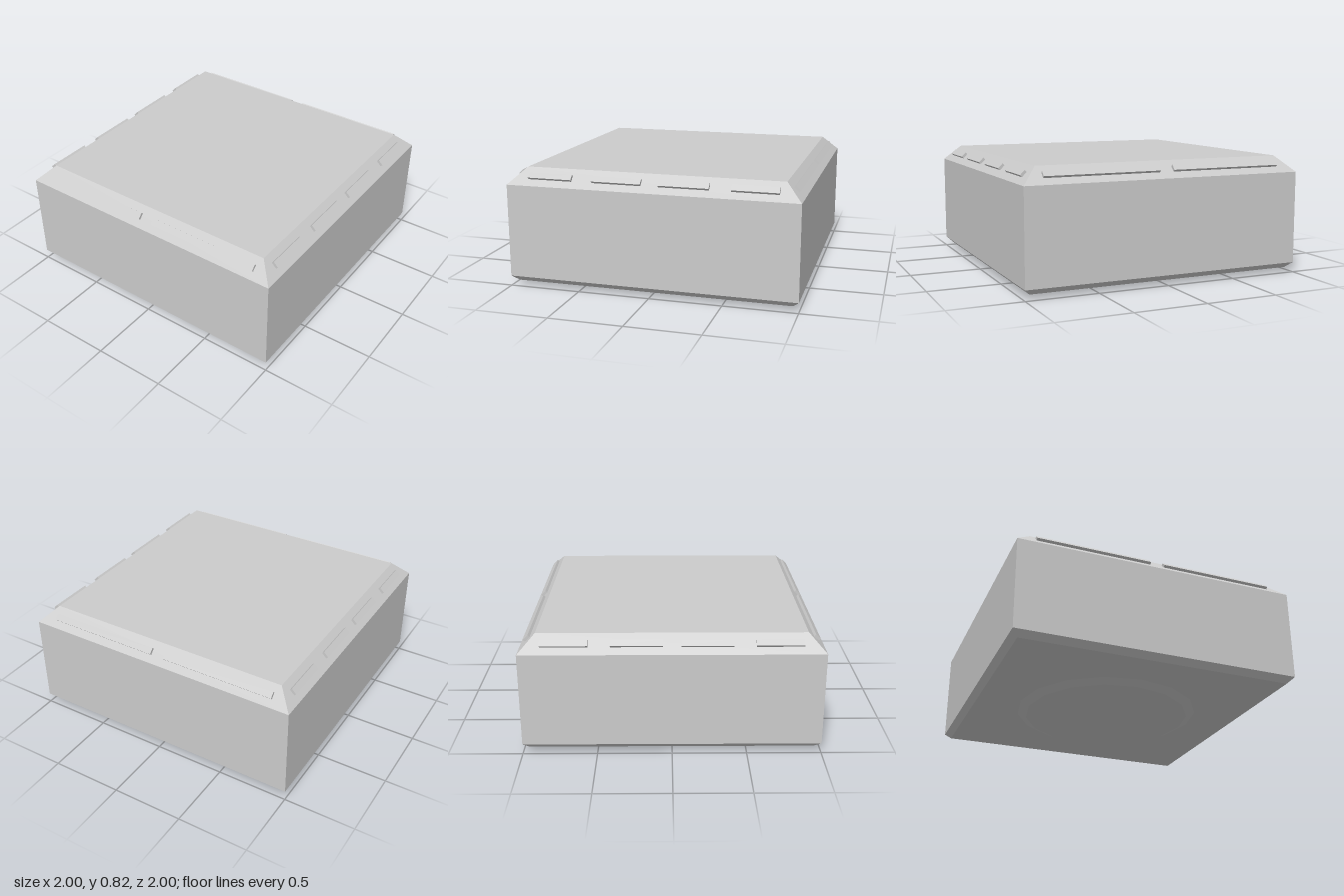
import * as THREE from 'three';

const material = new THREE.MeshStandardMaterial({ color: 0xcccccc, flatShading: true });

function addMesh(parent, geometry, name) {
  const mesh = new THREE.Mesh(geometry, material);
  mesh.name = name;
  parent.add(mesh);
  return mesh;
}

// Faceted solid from [radius, y] pairs listed bottom to top
function facetedSolid(profile, sides, start, scale = 1) {
  const points = profile.map(([r, y]) => new THREE.Vector2(r * scale, y));
  const geometry = new THREE.LatheGeometry(points, sides, start).toNonIndexed();
  geometry.computeVertexNormals();
  return geometry;
}

export function createModel() {
  const model = new THREE.Group();
  model.name = 'chamferedBlock';

  // Square body with a small bevel below and a wide bevel above
  const bodyProfile = [[0, 0.03], [0.957, 0.03], [1, 0.07], [1, 0.715], [0.888, 0.825], [0, 0.825]];
  addMesh(model, facetedSolid(bodyProfile, 4, Math.PI / 4, Math.SQRT2), 'body');

  // Shallow sixteen-sided foot tapering downwards
  addMesh(model, facetedSolid([[0, 0], [0.595, 0], [0.66, 0.032], [0, 0.032]], 16, 0), 'baseDisc');

  // Raised strips on the four upper bevels: [centre, length] along each edge
  const longStrips = [[-0.455, 0.81], [0.455, 0.81]];
  const shortStrips = [[-0.7, 0.31], [-0.23, 0.34], [0.23, 0.34], [0.7, 0.31]];
  ['front', 'left', 'back', 'right'].forEach((side, i) => {
    const edge = new THREE.Group();
    edge.name = side + 'Strips';
    edge.rotation.y = i * Math.PI / 2;
    for (const [centre, length] of i % 2 ? shortStrips : longStrips) {
      const strip = addMesh(edge, new THREE.BoxGeometry(length, 0.045, 0.036), side + 'Strip');
      strip.position.set(centre, 0.77, 0.945);
      strip.rotation.x = -Math.PI / 4;
    }
    model.add(edge);
  });

  return model;
}
